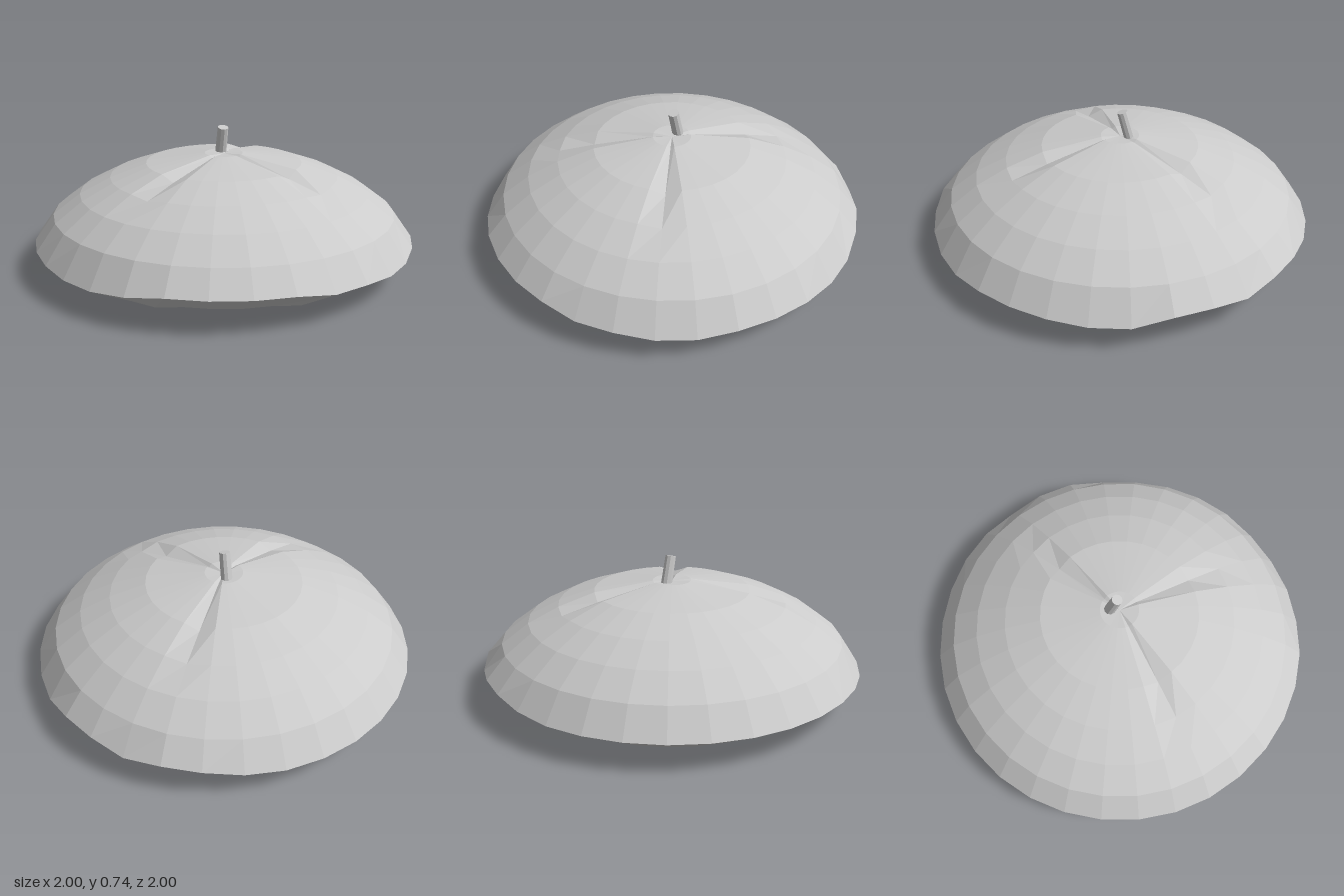
import * as THREE from 'three';

const SEG = 32;
// Height of the wavy rim at each segment, counted from +z towards +x
const RIM = [
  0.18, 0.155, 0.155, 0.14, 0.14, 0.155, 0.155, 0.15, 0.14, 0.14, 0.18, 0.18, 0.155, 0.18, 0.18, 0.165,
  0.155, 0.155, 0.155, 0.155, 0.155, 0.155, 0.155, 0.155, 0.155, 0.15, 0.14, 0.14, 0.155, 0.18, 0.18, 0.18,
];
const FOLDS = [3, 13, 27]; // segments where the crown is pinched into a crease

// Rings from the inner band, around the opening and rim, up to the crown
const RINGS = [
  { r: 0.56, y: () => 0.25 },
  { r: 0.73, y: (k) => (RIM[k] > 0.17 ? 0.025 : 0) },
  { r: 1.0, y: (k) => RIM[k] },
  { r: 0.9, y: () => 0.295 },
  { r: 0.76, y: () => 0.4 },
  { r: 0.6, y: (k) => 0.482 - (FOLDS.includes(k) ? 0.012 : 0) },
  { r: 0.41, y: (k) => 0.55 - (FOLDS.includes(k) ? 0.03 : 0) },
  { r: 0.1, y: (k) => 0.597 - (FOLDS.includes(k) ? 0.012 : 0) },
  { r: 0.0, y: () => 0.592 },
];

// Skin a run of rings with quads
function loft(rings) {
  const positions = [];
  const index = [];
  for (const ring of rings) {
    for (let k = 0; k < SEG; k++) {
      const a = (k / SEG) * Math.PI * 2;
      positions.push(ring.r * Math.sin(a), ring.y(k), ring.r * Math.cos(a));
    }
  }
  for (let i = 0; i < rings.length - 1; i++) {
    for (let k = 0; k < SEG; k++) {
      const next = (k + 1) % SEG;
      const a = i * SEG + k, b = i * SEG + next;
      const c = a + SEG, d = b + SEG;
      index.push(a, b, d);
      if (rings[i + 1].r > 0) index.push(a, d, c);
    }
  }
  const geometry = new THREE.BufferGeometry();
  geometry.setAttribute('position', new THREE.Float32BufferAttribute(positions, 3));
  geometry.setIndex(index);
  geometry.computeVertexNormals();
  return geometry;
}

export function createModel() {
  const group = new THREE.Group();
  group.name = 'beret';
  const felt = new THREE.MeshStandardMaterial({ color: 0xcccccc, flatShading: true, side: THREE.DoubleSide });

  const add = (name, geometry) => {
    const mesh = new THREE.Mesh(geometry, felt);
    mesh.name = name;
    group.add(mesh);
    return mesh;
  };

  add('innerBand', loft(RINGS.slice(0, 2)));
  add('underside', loft(RINGS.slice(1, 3)));
  add('crown', loft(RINGS.slice(2)));

  // Stalk leaning towards the front
  const base = new THREE.Vector3(0, 0.58, -0.053);
  const tip = new THREE.Vector3(0, 0.73, -0.012);
  const axis = tip.clone().sub(base);
  const stalk = add('stalk', new THREE.CylinderGeometry(0.028, 0.03, axis.length(), 10));
  stalk.position.copy(base).add(tip).multiplyScalar(0.5);
  stalk.quaternion.setFromUnitVectors(new THREE.Vector3(0, 1, 0), axis.normalize());

  return group;
}
